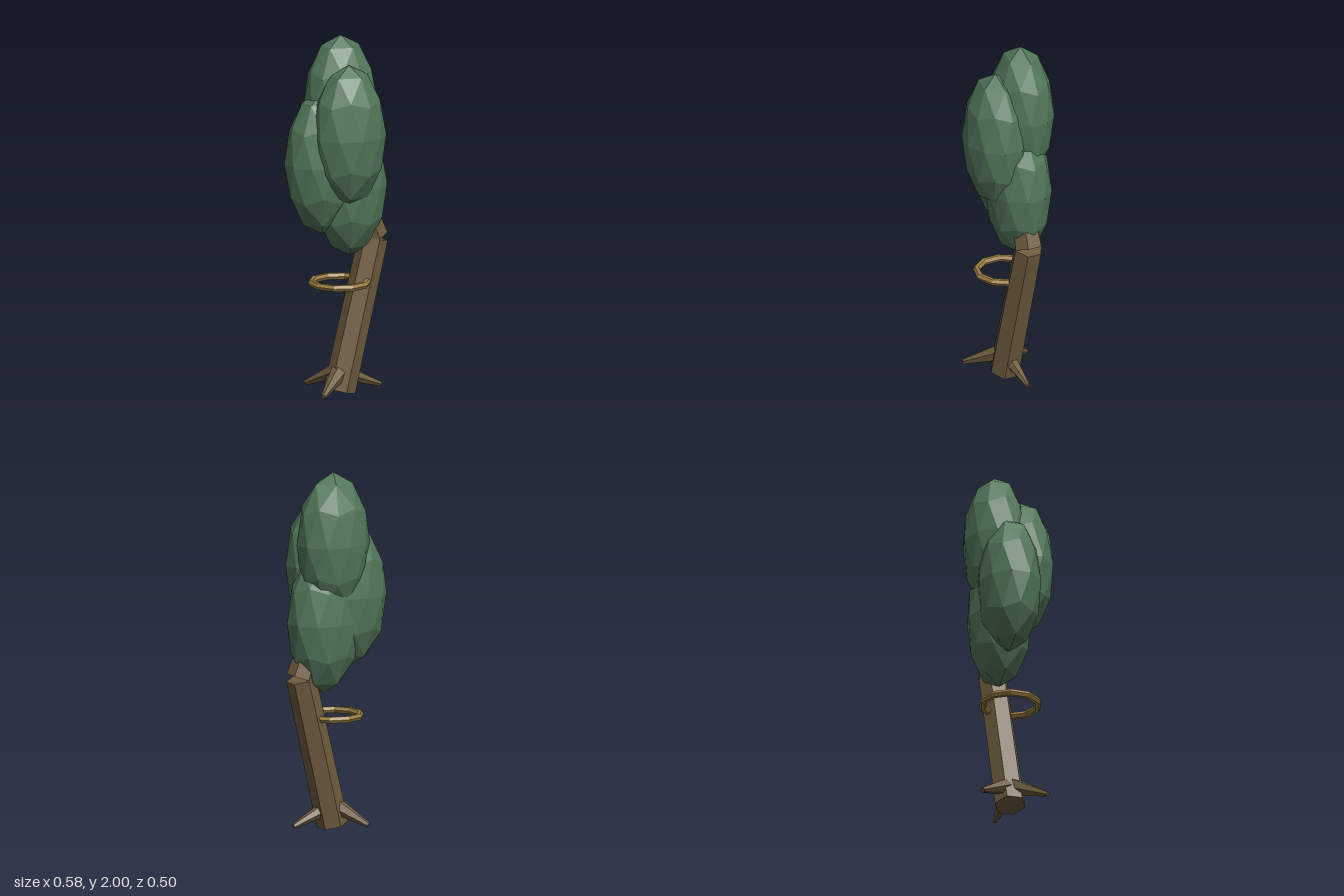
import * as THREE from 'three';

const flat = (geometry) => {
  const g = geometry.index ? geometry.toNonIndexed() : geometry;
  g.computeVertexNormals();
  return g;
};

const material = (name, color) => {
  const m = new THREE.MeshStandardMaterial({ color, flatShading: true });
  m.name = name;
  return m;
};

export function createModel() {
  const group = new THREE.Group();
  group.name = 'leaningTree';
  const bark = material('bark brown', 0x6e5c3f);
  const leaf = material('leaf green', 0x52775a);
  const gold = material('ring gold', 0x9a7d42);

  const add = (name, geometry, mat) => {
    const mesh = new THREE.Mesh(flat(geometry), mat);
    mesh.name = name;
    group.add(mesh);
    return mesh;
  };

  // Tapered prism running from one point to another
  const limb = (name, from, to, r0, r1, sides) => {
    const a = new THREE.Vector3(...from);
    const b = new THREE.Vector3(...to);
    const axis = b.clone().sub(a);
    const mesh = add(name, new THREE.CylinderGeometry(r1, r0, axis.length(), sides), bark);
    mesh.position.copy(a).add(b).multiplyScalar(0.5);
    mesh.quaternion.setFromUnitVectors(new THREE.Vector3(0, 1, 0), axis.normalize());
  };

  // Trunk, with a kinked upper part reaching into the crown
  limb('trunk', [0, 0.025, 0], [0.216, 0.858, -0.023], 0.088, 0.082, 6);
  limb('upperTrunk', [0.218, 0.861, -0.024], [0.11, 1.155, -0.03], 0.082, 0.065, 6);

  // Three roots spreading from the foot
  limb('rootLeft', [0.03, 0.122, 0], [0.25, 0.036, 0], 0.045, 0.014, 6);
  limb('rootFront', [0, 0.138, 0.01], [-0.175, 0.038, 0.158], 0.052, 0.015, 6);
  limb('rootBack', [0, 0.138, -0.01], [-0.11, 0.038, -0.198], 0.05, 0.015, 6);

  // Flat ring hanging on the trunk
  const ring = new THREE.TorusGeometry(0.155, 0.02, 6, 10);
  ring.rotateZ(Math.PI / 2).rotateX(Math.PI / 2);
  add('ring', ring, gold).position.set(0, 0.632, 0);

  // Faceted crown clumps, each with a vertex at its top
  const clumps = [
    ['crownTop', 0.042, 1.603, -0.075],
    ['crownFront', 0.022, 1.465, 0.072],
    ['crownRight', -0.09, 1.303, -0.038],
    ['crownLeft', 0.08, 1.165, -0.037],
  ];
  const tilt = Math.atan(2 / (1 + Math.sqrt(5)));
  for (const [name, x, y, z] of clumps) {
    const g = new THREE.IcosahedronGeometry(1, 1);
    g.rotateZ(-tilt).scale(0.212, 0.397, 0.175);
    add(name, g, leaf).position.set(x, y, z);
  }
  return group;
}
